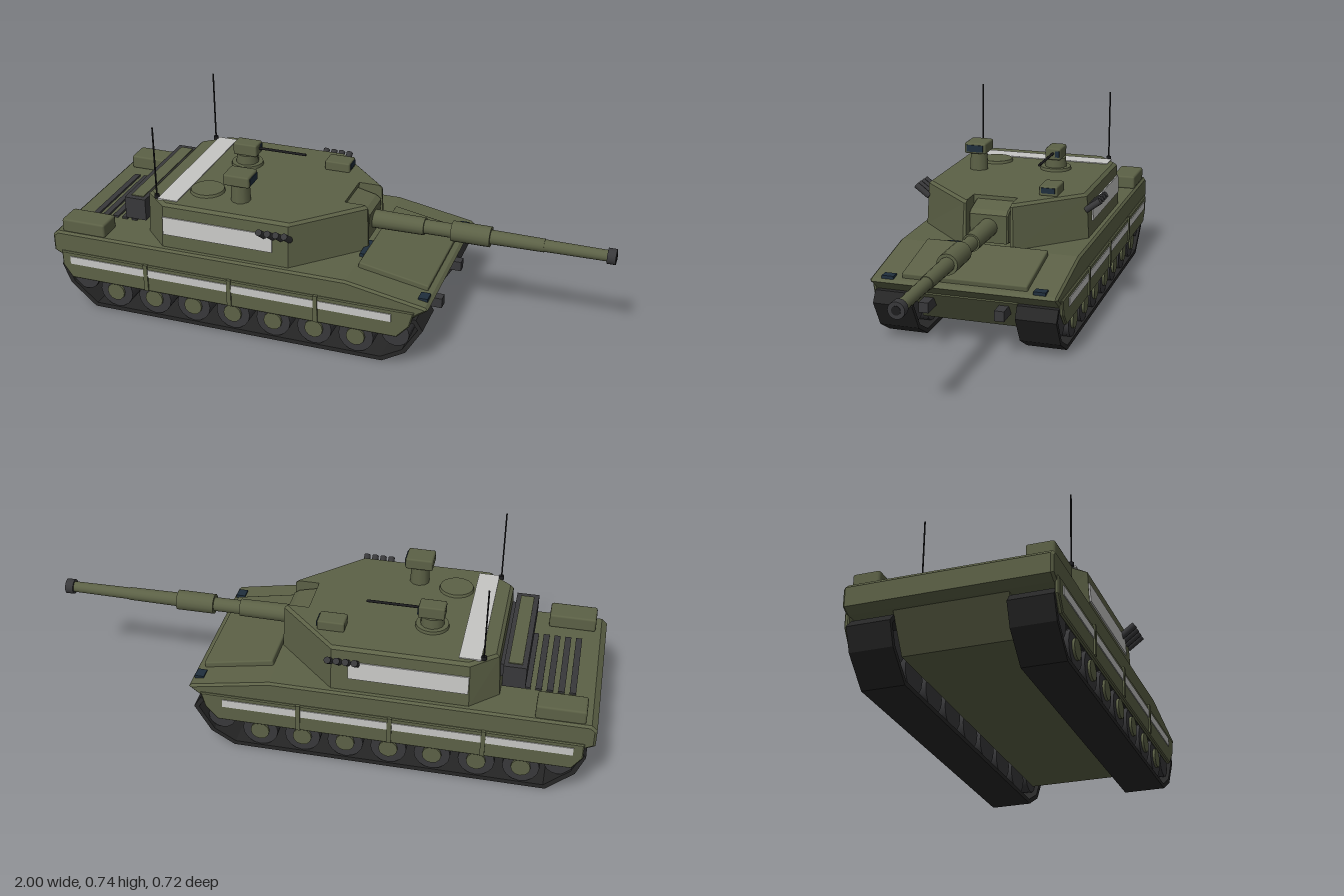
import * as THREE from 'three';
import { RoundedBoxGeometry } from 'three/addons/geometries/RoundedBoxGeometry.js';

const paint = (name, color) => Object.assign(new THREE.MeshStandardMaterial({ color }), { name });

export function createModel() {
  const olive = paint('olive paint', 0x5c6146);
  const rubber = paint('track rubber', 0x262626);
  const charcoal = paint('charcoal metal', 0x38383a);
  const black = paint('black metal', 0x1c1c1e);
  const pale = paint('pale marking', 0xc6c6c4);
  const glass = paint('dark blue glass', 0x1f2e3c);

  const tank = new THREE.Group();
  tank.name = 'tank';

  const add = (name, geometry, material, x = 0, y = 0, z = 0) => {
    const mesh = new THREE.Mesh(geometry, material);
    mesh.name = name;
    mesh.position.set(x, y, z);
    tank.add(mesh);
    return mesh;
  };
  // Box given by its limits on each axis, with optional softened edges
  const box = (name, mat, [x0, x1], [y0, y1], [z0, z1], r = 0) => {
    const s = [x1 - x0, y1 - y0, z1 - z0];
    const g = r ? new RoundedBoxGeometry(...s, 1, r) : new THREE.BoxGeometry(...s);
    return add(name, g, mat, (x0 + x1) / 2, (y0 + y1) / 2, (z0 + z1) / 2);
  };
  // Side profile extruded across z, centred, with a small chamfer
  const toShape = pts => new THREE.Shape(pts.map(p => new THREE.Vector2(...p)));
  const prism = (pts, width, b = 0, hole) => {
    const shape = toShape(pts);
    if (hole) shape.holes.push(toShape(hole));
    return new THREE.ExtrudeGeometry(shape, {
      depth: width - 2 * b, bevelEnabled: b > 0, bevelSize: b, bevelThickness: b,
      bevelOffset: -b, bevelSegments: 1,
    }).translate(0, 0, b - width / 2);
  };
  const cylX = (r0, r1, len, n = 16) =>
    new THREE.CylinderGeometry(r1, r0, len, n).rotateZ(-Math.PI / 2);
  const cylZ = (r, len, n = 16) => new THREE.CylinderGeometry(r, r, len, n).rotateX(Math.PI / 2);

  // Stacked plan outlines, each { y, pts: [x, z] }, closed at both ends
  const loft = layers => {
    const pos = [];
    const put = (l, i) => {
      const p = l.pts[i % l.pts.length];
      pos.push(p[0], l.y, p[1]);
    };
    for (let k = 0; k + 1 < layers.length; k++) {
      const a = layers[k], b = layers[k + 1];
      for (let i = 0; i < a.pts.length; i++) {
        put(a, i); put(b, i + 1); put(b, i);
        put(a, i); put(a, i + 1); put(b, i + 1);
      }
    }
    const cap = (l, up) => {
      const tris = THREE.ShapeUtils.triangulateShape(l.pts.map(p => new THREE.Vector2(...p)), []);
      for (const [a, b, c] of tris) {
        const [p, q, r] = [a, b, c].map(i => l.pts[i]);
        const turn = (q[0] - p[0]) * (r[1] - p[1]) - (q[1] - p[1]) * (r[0] - p[0]);
        for (const i of (turn < 0) === up ? [a, b, c] : [a, c, b]) put(l, i);
      }
    };
    cap(layers[0], false);
    cap(layers[layers.length - 1], true);
    const g = new THREE.BufferGeometry();
    g.setAttribute('position', new THREE.Float32BufferAttribute(pos, 3));
    g.computeVertexNormals();
    return g;
  };

  // Hull
  add('upperHull', prism([[-0.97, 0.2], [0.365, 0.19], [0.425, 0.235], [0.415, 0.245], [0.13, 0.298],
    [-0.98, 0.298], [-1, 0.28], [-1, 0.215]], 0.672, 0.008), olive);
  add('lowerHull', prism([[-0.88, 0.08], [0.3, 0.08], [0.385, 0.195], [-0.96, 0.205]], 0.372), olive);
  const glacis = add('glacisPlate', new RoundedBoxGeometry(0.26, 0.026, 0.45, 1, 0.006), olive, 0.27, 0.279, 0);
  glacis.rotation.z = -0.19;
  box('driverPeriscope', glass, [0.125, 0.145], [0.295, 0.31], [0.05, 0.155]);

  // Engine deck
  for (let i = 0; i < 5; i++) {
    const x = -0.905 + i * 0.039;
    box('engineGrille', charcoal, [x - 0.011, x + 0.011], [0.295, 0.305], [-0.17, 0.17]);
  }

  // Running gear and fittings, mirrored on both sides
  const trackOuter = [[-0.85, 0], [0.265, 0], [0.35, 0.05], [0.41, 0.15], [0.385, 0.19], [-0.95, 0.19],
    [-0.975, 0.16], [-0.945, 0.085]];
  const trackInner = [[-0.842, 0.016], [0.26, 0.016], [0.338, 0.061], [0.392, 0.15], [0.376, 0.174],
    [-0.943, 0.174], [-0.957, 0.157], [-0.93, 0.094]];
  const skirt = [[-0.93, 0.115], [0.32, 0.115], [0.365, 0.165], [0.38, 0.222], [-0.965, 0.222], [-0.965, 0.165]];
  for (const s of [1, -1]) {
    const span = (a, b) => s > 0 ? [a, b] : [-b, -a];
    add('track', prism(trackOuter, 0.145, 0, trackInner), rubber, 0, 0, s * 0.2575);
    for (let i = 0; i < 7; i++) {
      const x = -0.76 + i * 0.1547;
      add('roadWheel', cylZ(0.064, 0.125), charcoal, x, 0.08, s * 0.262);
      add('wheelHub', cylZ(0.034, 0.012, 12), olive, x, 0.08, s * 0.327);
    }
    for (const x of [-0.885, 0.31]) {
      add('endWheel', cylZ(0.05, 0.12), charcoal, x, 0.115, s * 0.26);
    }
    add('sideSkirt', prism(skirt, 0.016, 0.004), olive, 0, 0, s * 0.335);
    box('skirtStripe', pale, [-0.93, 0.3], [0.175, 0.205], span(0.342, 0.346));
    for (const x of [-0.625, -0.3, 0.025]) {
      box('skirtBracket', olive, [x - 0.008, x + 0.008], [0.12, 0.225], span(0.338, 0.349));
    }
    box('stowageBox', olive, [-0.96, -0.79], [0.295, 0.348], span(0.235, 0.328), 0.008);
    box('headlight', glass, [0.38, 0.414], [0.24, 0.257], span(0.25, 0.293));
    box('towHook', charcoal, [0.35, 0.43], [0.143, 0.18], span(0.118, 0.153));

    // Turret side marking, leaning with the wall
    const mark = box('turretSideMarking', pale, [-0.56, -0.145], [0.348, 0.415], span(0.306, 0.313));
    mark.rotation.x = -s * 0.06;

    // Smoke launchers
    for (let i = 0; i < 4; i++) {
      const tube = add('smokeLauncher', new THREE.CylinderGeometry(0.012, 0.012, 0.065, 10), charcoal,
        -0.175 + i * 0.031, 0.424, s * 0.328);
      tube.rotation.x = s * 0.93;
    }

    // Antennas
    add('antennaBase', new THREE.CylinderGeometry(0.009, 0.01, 0.014, 8), black, -0.6, 0.47, s * 0.262);
    add('antenna', new THREE.CylinderGeometry(0.003, 0.003, 0.26, 6), black, -0.6, 0.605, s * 0.262);
  }

  // Turret with a notch at the front for the gun mount
  const turretPlan = (rear, corner, side, frontX, cheek) => {
    const half = [[rear, 0.222], [corner, side], [-0.085, side], [frontX, cheek], [frontX, 0.082], [0.045, 0.082]];
    return [...half, ...half.map(([x, z]) => [x, -z]).reverse()];
  };
  add('turret', loft([
    { y: 0.296, pts: turretPlan(-0.66, -0.565, 0.313, 0.138, 0.095) },
    { y: 0.455, pts: turretPlan(-0.65, -0.56, 0.304, 0.132, 0.09) },
    { y: 0.465, pts: turretPlan(-0.638, -0.553, 0.292, 0.12, 0.088) },
  ]), olive);
  box('roofMarking', pale, [-0.592, -0.517], [0.462, 0.468], [-0.275, 0.275]);
  add('gunMantlet', prism([[0.03, 0.3], [0.128, 0.315], [0.134, 0.42], [0.115, 0.434], [0.03, 0.455]], 0.145, 0.005), olive);

  // Rear stowage basket
  box('rearBasket', charcoal, [-0.745, -0.665], [0.345, 0.428], [-0.235, 0.235]);
  box('basketLid', olive, [-0.728, -0.68], [0.426, 0.431], [-0.215, 0.215]);
  box('basketMount', charcoal, [-0.67, -0.63], [0.36, 0.41], [-0.2, 0.2]);

  // Main gun: [start, end, start radius, end radius]
  const barrel = [[0.12, 0.32, 0.034, 0.032], [0.32, 0.42, 0.026, 0.026], [0.42, 0.56, 0.037, 0.037],
    [0.56, 0.75, 0.026, 0.024], [0.75, 0.972, 0.022, 0.02]];
  for (const [a, b, r0, r1] of barrel) {
    add('gunBarrel', cylX(r0, r1, b - a), olive, (a + b) / 2, 0.373, 0);
  }
  add('muzzle', cylX(0.028, 0.028, 0.03), charcoal, 0.983, 0.373, 0);
  add('bore', cylX(0.015, 0.015, 0.004), black, 0.998, 0.373, 0);

  // Tall panoramic sight
  add('sightColumn', new THREE.CylinderGeometry(0.033, 0.036, 0.08, 10), olive, -0.31, 0.5, 0.182);
  box('sightHead', olive, [-0.36, -0.26], [0.533, 0.575], [0.14, 0.225], 0.007);
  box('sightWindow', glass, [-0.263, -0.257], [0.541, 0.567], [0.15, 0.215]);

  // Gunner's sight
  box('gunnerSight', olive, [-0.11, -0.013], [0.462, 0.5], [-0.212, -0.143], 0.006);
  box('gunnerSightWindow', glass, [-0.016, -0.01], [0.474, 0.494], [-0.203, -0.152]);

  // Roof weapon station
  add('weaponRing', new THREE.CylinderGeometry(0.058, 0.06, 0.012, 20), olive, -0.4, 0.47, -0.1);
  add('weaponPedestal', new THREE.CylinderGeometry(0.04, 0.043, 0.05, 12), olive, -0.4, 0.486, -0.1);
  box('weaponHead', olive, [-0.445, -0.352], [0.508, 0.554], [-0.13, -0.07], 0.006);
  box('weaponSightWindow', glass, [-0.355, -0.349], [0.52, 0.544], [-0.126, -0.109]);
  add('machineGun', cylX(0.005, 0.005, 0.19, 8), black, -0.262, 0.534, -0.1);

  // Roof hatch
  add('roofHatch', new THREE.CylinderGeometry(0.06, 0.064, 0.012, 20), olive, -0.45, 0.469, 0.155);

  return tank;
}
